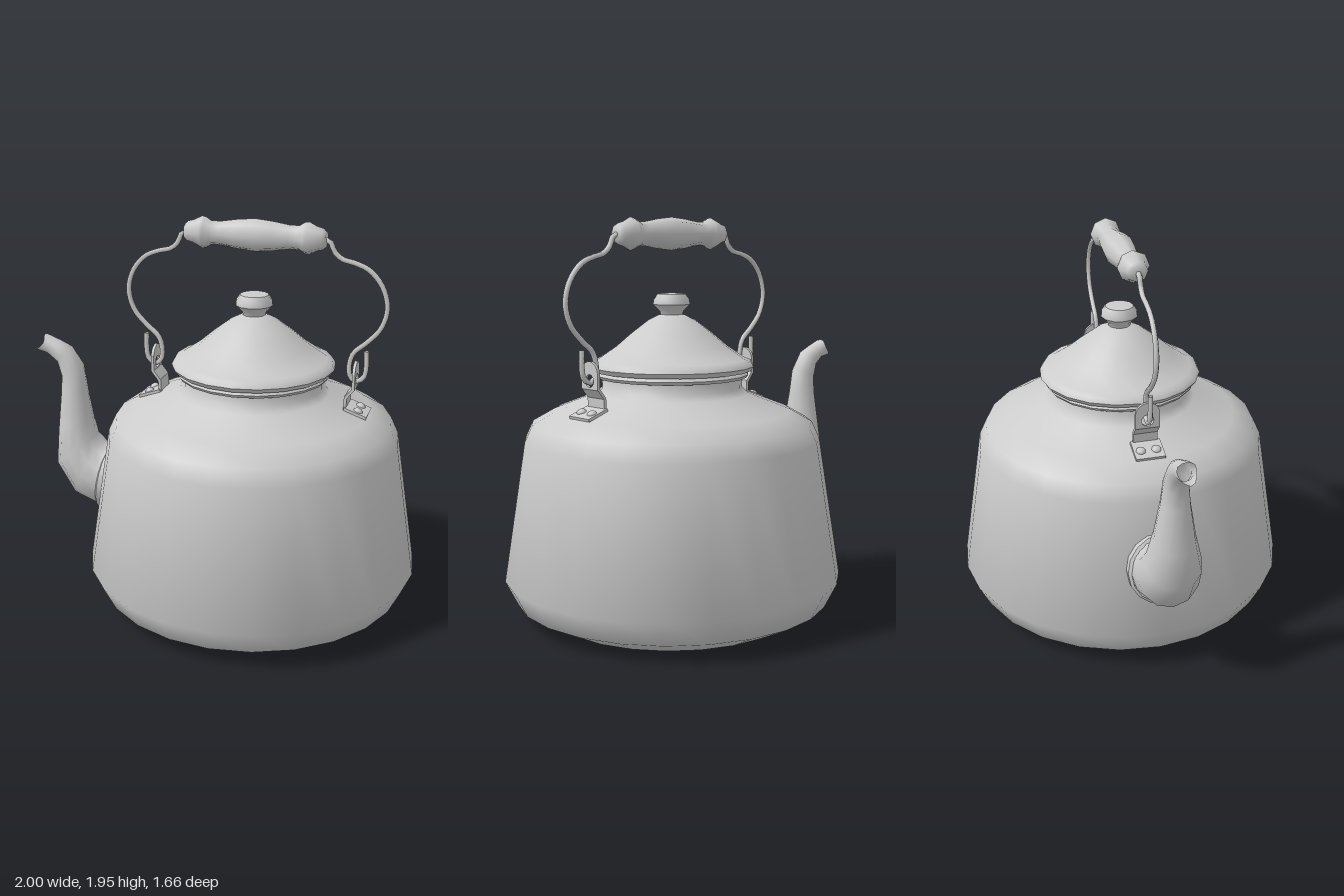
import * as THREE from 'three';
import { toCreasedNormals } from 'three/addons/utils/BufferGeometryUtils.js';

const AXIS = 0.165; // the pot's axis sits to one side to make room for the spout
const material = new THREE.MeshStandardMaterial({ color: 0xcccccc });
const openMaterial = new THREE.MeshStandardMaterial({ color: 0xcccccc, side: THREE.DoubleSide });

function add(parent, name, geometry, mat = material) {
  const mesh = new THREE.Mesh(geometry, mat);
  mesh.name = name;
  parent.add(mesh);
  return mesh;
}

// Turned part from [radius, height] pairs, listed bottom to top
function turned(profile, sides, crease = 0.9) {
  const points = profile.map(([r, y]) => new THREE.Vector2(r, y));
  return toCreasedNormals(new THREE.LatheGeometry(points, sides), crease);
}

// Skin over elliptical rings: [upper x, upper y, lower x, lower y, half width, side setback]
function skin(rings, sides) {
  const positions = [], index = [];
  for (const [ax, ay, bx, by, w, notch = 0] of rings) {
    for (let j = 0; j < sides; j++) {
      const t = (j / sides) * Math.PI * 2, c = Math.cos(t), s = Math.sin(t);
      positions.push(
        (ax + bx) / 2 + ((ax - bx) / 2) * c + notch * s * s,
        (ay + by) / 2 + ((ay - by) / 2) * c,
        w * s);
    }
  }
  for (let i = 0; i < rings.length - 1; i++) {
    for (let j = 0; j < sides; j++) {
      const a = i * sides + j, b = i * sides + (j + 1) % sides;
      index.push(a, a + sides, b, b, a + sides, b + sides);
    }
  }
  const geometry = new THREE.BufferGeometry();
  geometry.setAttribute('position', new THREE.Float32BufferAttribute(positions, 3));
  geometry.setIndex(index);
  geometry.computeVertexNormals();
  return geometry;
}

// Flat metal strip between two points of the xy plane
function strip(parent, name, [x1, y1], [x2, y2], width) {
  const mesh = add(parent, name, new THREE.BoxGeometry(Math.hypot(x2 - x1, y2 - y1), 0.014, width));
  mesh.position.set((x1 + x2) / 2, (y1 + y2) / 2, 0);
  mesh.rotation.z = Math.atan2(y2 - y1, x2 - x1);
}

function createBracket() {
  const bracket = new THREE.Group();
  bracket.name = 'handleBracket';

  // Upright ear with a rounded top and a hole for the wire
  const shape = new THREE.Shape();
  shape.moveTo(-0.06, 1.16);
  shape.lineTo(0.06, 1.16);
  shape.lineTo(0.06, 1.24);
  shape.absarc(0, 1.23, 0.06, 0.17, Math.PI - 0.17, false);
  shape.lineTo(-0.06, 1.16);
  const hole = new THREE.Path();
  hole.absarc(0, 1.2, 0.03, 0, Math.PI * 2, true);
  shape.holes.push(hole);
  const ear = new THREE.ExtrudeGeometry(shape, { depth: 0.014, bevelEnabled: false, curveSegments: 8 });
  ear.rotateY(Math.PI / 2).translate(0.498, 0, 0);
  add(bracket, 'ear', ear);

  strip(bracket, 'earBend', [0.505, 1.165], [0.47, 1.12], 0.12);
  strip(bracket, 'earLeg', [0.47, 1.125], [0.467, 1.06], 0.12);
  strip(bracket, 'foot', [0.465, 1.069], [0.575, 1.03], 0.145);

  // Rivets following the slope of the shoulder
  for (const z of [-0.038, 0.038]) {
    const rivet = add(bracket, 'rivet', new THREE.SphereGeometry(0.024, 8, 4, 0, Math.PI * 2, 0, Math.PI / 2));
    rivet.position.set(0.53, 1.052, z);
    rivet.rotation.z = -0.34;
    rivet.scale.y = 0.7;
  }
  return bracket;
}

function createHandleSide() {
  const side = new THREE.Group();
  side.name = 'handleSide';
  // Wire bows out from the grip and hooks through the bracket
  const path = [
    [0.32, 1.865], [0.36, 1.86], [0.385, 1.81], [0.42, 1.78], [0.48, 1.765], [0.55, 1.735],
    [0.615, 1.66], [0.642, 1.56], [0.615, 1.46], [0.55, 1.385], [0.49, 1.33], [0.472, 1.265],
    [0.48, 1.21], [0.51, 1.19], [0.545, 1.215], [0.555, 1.27], [0.553, 1.345],
  ].map(([x, y]) => new THREE.Vector3(x, y, 0));
  add(side, 'handleWire', new THREE.TubeGeometry(new THREE.CatmullRomCurve3(path), 44, 0.013, 6), openMaterial);
  side.add(createBracket());
  return side;
}

export function createModel() {
  const kettle = new THREE.Group();
  kettle.name = 'kettle';
  const pot = new THREE.Group();
  pot.name = 'pot';
  pot.position.x = AXIS;
  kettle.add(pot);

  // Body with a sloping shoulder and a short neck
  add(pot, 'body', turned([
    [0.61, 0], [0.77, 0.08], [0.83, 0.2], [0.722, 0.88], [0.685, 0.96],
    [0.58, 1.02], [0.375, 1.1], [0.343, 1.13], [0.34, 1.19],
  ], 24));
  add(pot, 'base', new THREE.CircleGeometry(0.61, 24).rotateX(Math.PI / 2).rotateY(Math.PI / 2));
  add(pot, 'neckRim', turned([
    [0.33, 1.175], [0.365, 1.18], [0.376, 1.195], [0.365, 1.212], [0.33, 1.217],
  ], 20));

  // Lid with a rolled edge, dome and knob
  add(pot, 'lid', turned([
    [0, 1.212], [0.385, 1.212], [0.402, 1.235], [0.39, 1.258], [0.36, 1.268],
    [0.27, 1.33], [0.2, 1.39], [0.115, 1.455], [0.06, 1.482], [0, 1.488],
  ], 20));
  add(pot, 'lidKnob', turned([
    [0.052, 1.475], [0.06, 1.5], [0.092, 1.532], [0.09, 1.552], [0.07, 1.582], [0, 1.587],
  ], 12, 0.8));

  // Turned grip, symmetric about its middle
  const half = [[0, 0.345], [0.035, 0.345], [0.05, 0.33], [0.058, 0.3], [0.078, 0.26],
    [0.074, 0.24], [0.058, 0.215], [0.057, 0.17], [0.07, 0.09]];
  const gripProfile = [...half.map(([r, x]) => [r, -x]), [0.079, 0], ...half.slice().reverse()];
  const grip = add(pot, 'handleGrip', turned(gripProfile, 8, 1.1));
  grip.position.y = 1.868;
  grip.rotation.z = Math.PI / 2;

  // Wire and bracket on both sides
  for (const angle of [0, Math.PI]) {
    const side = createHandleSide();
    side.rotation.y = angle;
    pot.add(side);
  }

  // Curved spout with a notched, open mouth
  add(kettle, 'spout', skin([
    [-0.54, 0.72, -0.59, 0.39, 0.155],
    [-0.61, 0.71, -0.66, 0.393, 0.155],
    [-0.645, 0.73, -0.79, 0.445, 0.155],
    [-0.68, 0.77, -0.892, 0.605, 0.135],
    [-0.702, 0.88, -0.882, 0.78, 0.1],
    [-0.722, 1.02, -0.86, 1.0, 0.07],
    [-0.738, 1.14, -0.855, 1.08, 0.06],
    [-0.8, 1.235, -0.875, 1.152, 0.053],
    [-0.86, 1.262, -0.93, 1.195, 0.048],
    [-0.943, 1.292, -1.0, 1.208, 0.045, 0.032],
  ], 12), openMaterial);

  // Collar where the spout meets the body
  add(kettle, 'spoutCollar', toCreasedNormals(skin([
    [-0.54, 0.728, -0.59, 0.372, 0.17],
    [-0.592, 0.726, -0.65, 0.372, 0.17],
    [-0.602, 0.71, -0.66, 0.388, 0.155],
  ], 16), 0.7), openMaterial);

  return kettle;
}
